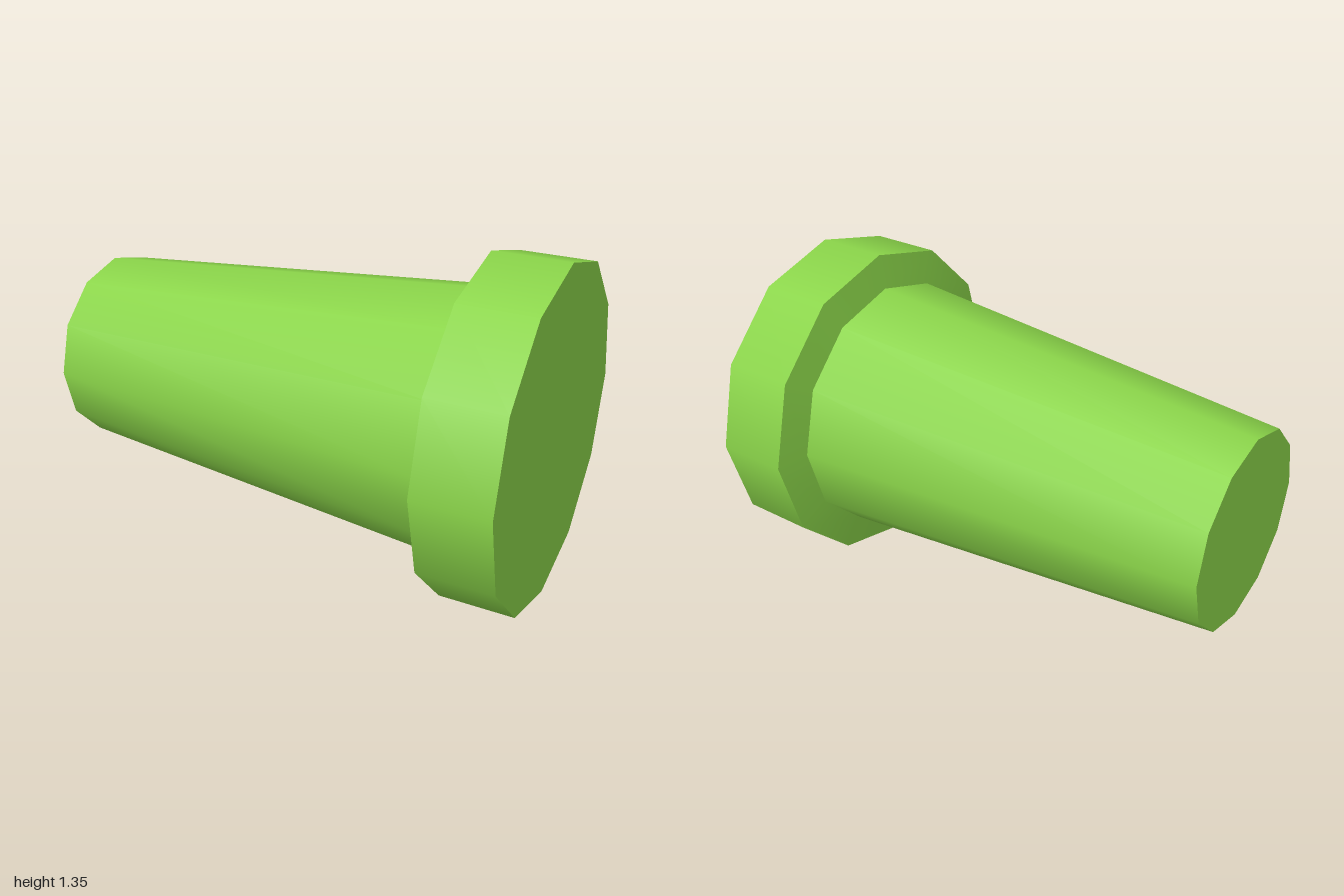
import * as THREE from 'three';

const SIDES = 12;
const AXIS_Y = 0.677;

export function createModel() {
  const model = new THREE.Group();
  model.name = 'taperedPlug';
  const green = new THREE.MeshStandardMaterial({ color: 0x8ad449 });
  green.name = 'leaf green';

  const add = (name, geometry) => {
    const mesh = new THREE.Mesh(geometry, green);
    mesh.name = name;
    mesh.position.y = AXIS_Y;
    model.add(mesh);
  };

  // Open tube section lying along x, from (x0, r0) to (x1, r1)
  const section = (name, x0, r0, x1, r1) => {
    const g = new THREE.CylinderGeometry(r1, r0, x1 - x0, SIDES, 1, true);
    g.rotateZ(-Math.PI / 2);
    g.translate((x0 + x1) / 2, 0, 0);
    add(name, g);
  };

  // Flat end disc facing along x (side is -1 or 1)
  const endCap = (name, x, r, side) => {
    const g = new THREE.CircleGeometry(r, SIDES);
    g.rotateY(side * Math.PI / 2);
    g.translate(x, 0, 0);
    add(name, g);
  };

  // Tapered body, slanted shoulder and wide rim
  section('body', -1, 0.393, 0.68, 0.535);
  section('shoulder', 0.68, 0.535, 0.7, 0.677);
  section('rim', 0.7, 0.677, 1, 0.677);

  // Closed ends
  endCap('narrowEnd', -1, 0.393, -1);
  endCap('wideEnd', 1, 0.677, 1);

  return model;
}
